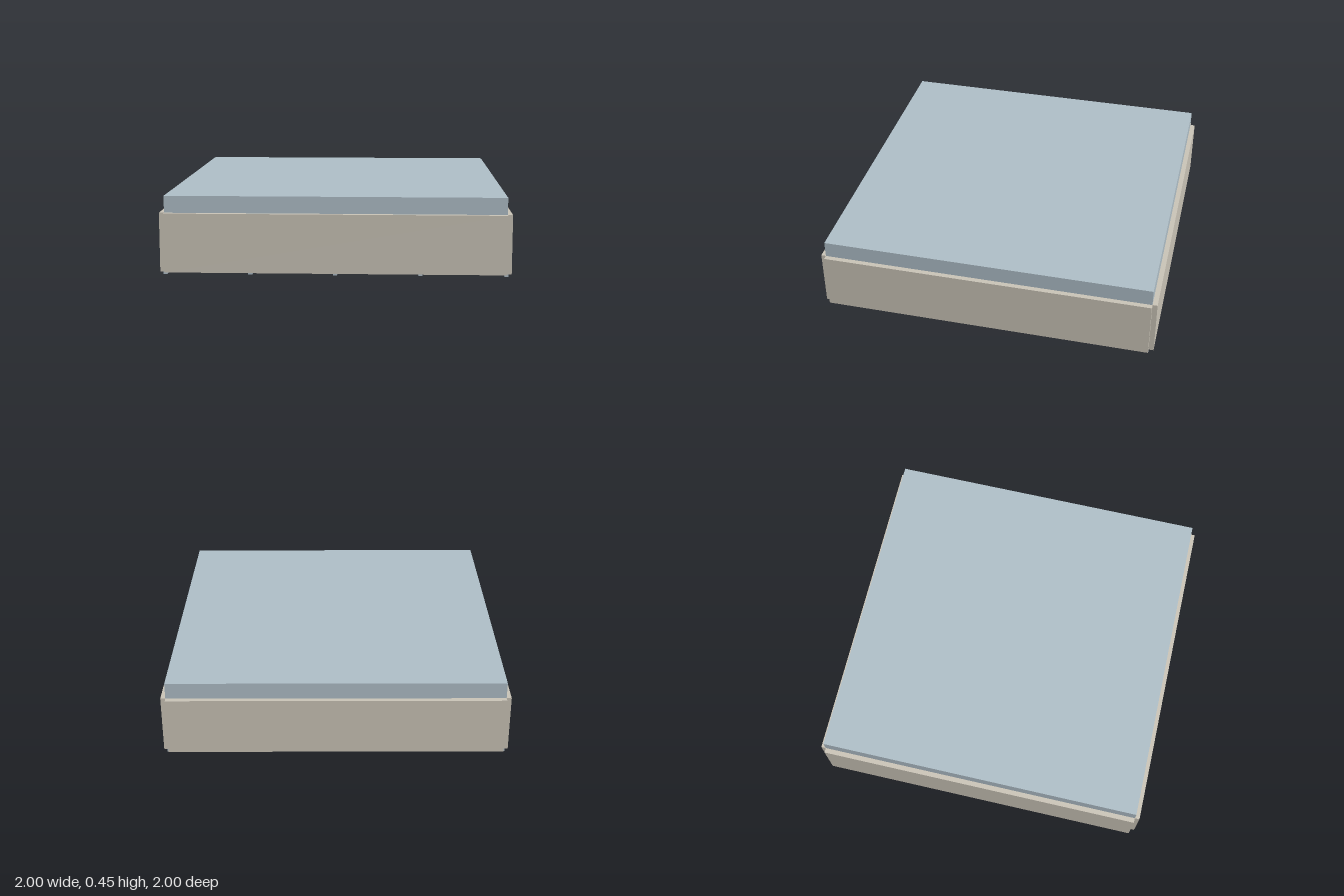
import * as THREE from 'three';

export function createModel() {
  const model = new THREE.Group();
  const concrete = new THREE.MeshStandardMaterial({ color: 0xcbc5b8 });
  concrete.name = 'warm beige';
  const steel = new THREE.MeshStandardMaterial({ color: 0xb0c0c9 });
  steel.name = 'pale blue grey';

  function box(name, material, size, x, y, z) {
    const mesh = new THREE.Mesh(new THREE.BoxGeometry(...size), material);
    mesh.name = name;
    mesh.position.set(x, y, z);
    model.add(mesh);
  }

  const span = 1.942, pitch = span / 4;
  const wall = 0.058, wallBottom = 0.015, wallTop = 0.355, slabTop = 0.452;
  const wallHeight = wallTop - wallBottom, wallY = (wallTop + wallBottom) / 2;

  // Solid slab resting on the walls
  box('slab', steel, [span, slabTop - wallTop, span], 0, (slabTop + wallTop) / 2, 0);

  // Grid of crossing walls, with thin strips under the lengthwise ones
  for (let i = -2; i <= 2; i++) {
    const p = i * pitch;
    box('lengthwiseWall', concrete, [wall, wallHeight, span], p, wallY, 0);
    box('crosswiseWall', concrete, [span, wallHeight, wall], 0, wallY, p);
    box('footStrip', steel, [0.024, wallBottom, span], p, wallBottom / 2, 0);
  }
  return model;
}
